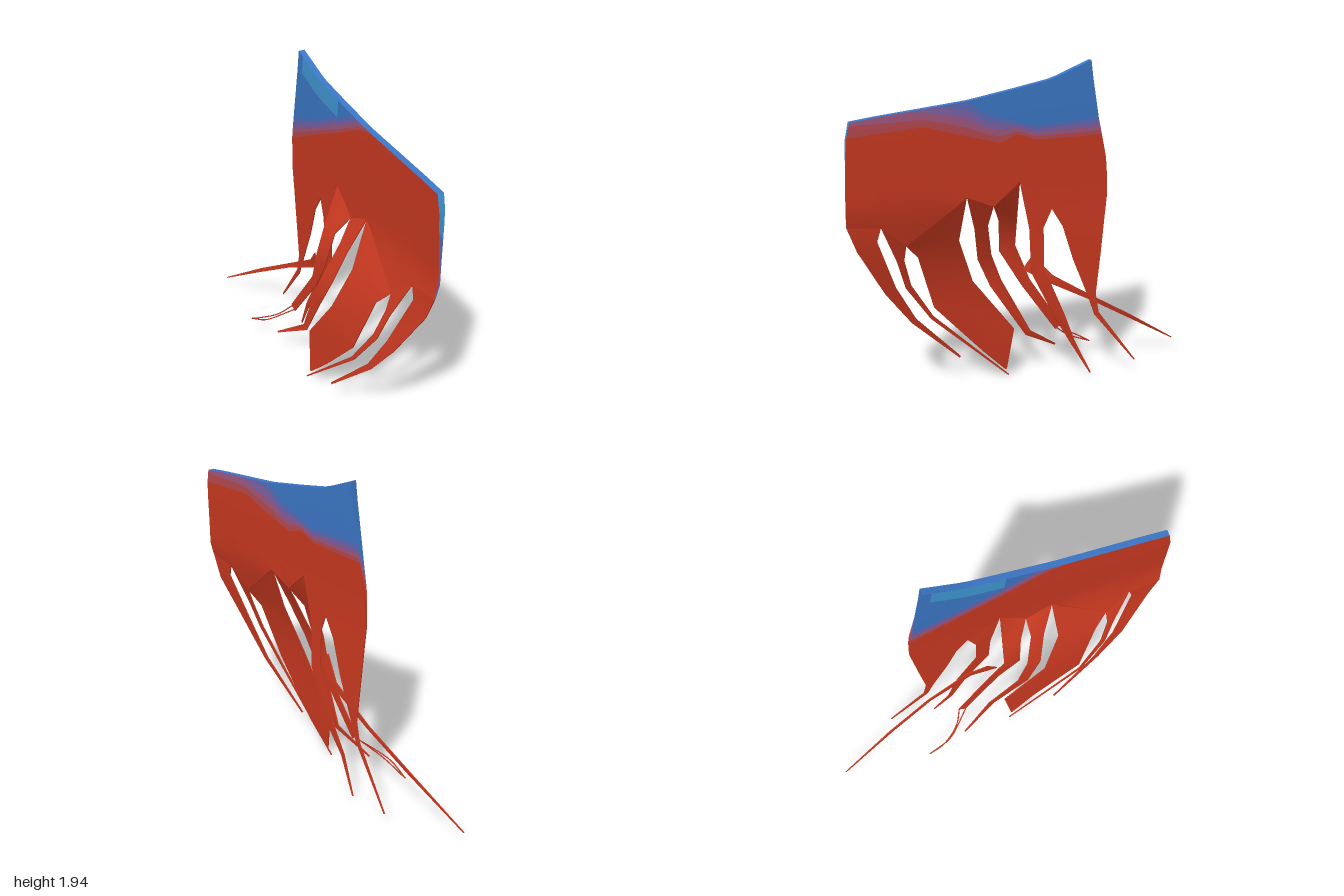
import * as THREE from 'three';
import { toCreasedNormals } from 'three/addons/utils/BufferGeometryUtils.js';

const V = (x, y, z) => new THREE.Vector3(x, y, z);
const { clamp, lerp, smoothstep } = THREE.MathUtils;

// Piecewise-linear lookup in a table of [key, value], keys descending
function lookup(table, k) {
  if (k >= table[0][0]) return table[0][1];
  for (let i = 1; i < table.length; i++) {
    const [k0, v0] = table[i - 1], [k1, v1] = table[i];
    if (k >= k1) return lerp(v0, v1, (k0 - k) / (k0 - k1));
  }
  return table[table.length - 1][1];
}

// Closed slab between a front grid F and a back grid B (rows go down, columns go right).
// The paint functions return a material index for each face.
function slab(F, B, count, paint) {
  const buckets = Array.from({ length: count }, () => []);
  const area = new THREE.Triangle();
  const tri = (m, a, b, c) => {
    if (area.set(a, b, c).getArea() > 1e-9) buckets[m].push(...a, ...b, ...c);
  };
  const quad = (m, a, b, c, d) => { tri(m, a, b, c); tri(m, a, c, d); };
  const R = F.length - 1, C = F[0].length - 1;
  for (let i = 0; i < R; i++) {
    for (let j = 0; j < C; j++) {
      quad(paint.front(i), F[i][j], F[i + 1][j], F[i + 1][j + 1], F[i][j + 1]);
      quad(paint.back(i, j), B[i][j], B[i][j + 1], B[i + 1][j + 1], B[i + 1][j]);
    }
    quad(paint.left(i), F[i][0], B[i][0], B[i + 1][0], F[i + 1][0]);
    quad(paint.front(i), F[i][C], F[i + 1][C], B[i + 1][C], B[i][C]);
  }
  for (let j = 0; j < C; j++) {
    quad(paint.front(0), F[0][j], F[0][j + 1], B[0][j + 1], B[0][j]);
    quad(paint.front(R), F[R][j], B[R][j], B[R][j + 1], F[R][j + 1]);
  }
  const g = new THREE.BufferGeometry();
  g.setAttribute('position', new THREE.Float32BufferAttribute(buckets.flat(), 3));
  let start = 0;
  buckets.forEach((b, m) => {
    if (b.length) g.addGroup(start, b.length / 3, m);
    start += b.length / 3;
  });
  return toCreasedNormals(g, 0.6);
}

// Cloth outline: side edges by height, then top and torn lower edge by z
const leftEdge = [[1.69, 0.96], [1.6, 0.98], [1.2, 1], [1.12, 0.99]];
const rightEdge = [[1.94, -0.26], [1.7, -0.29], [1.37, -0.36], [1.2, -0.37]];
const topEdge = [[1, 1.69], [0.84, 1.71], [0.36, 1.76], [0.08, 1.81], [-0.13, 1.85], [-0.37, 1.94]];
const notches = [[0.99, 1.12], [0.82, 1.1], [0.68, 0.97], [0.39, 1.23], [0.25, 1.16], [0.11, 1.29], [-0.06, 1.11], [-0.37, 1.15]];
// Heights where blue ends and where red begins, on each face
const frontBlue = [[1, 1.86], [0.36, 1.76], [0.28, 1.69], [0, 1.6], [-0.37, 1.62]];
const frontRed = [[1, 1.61], [0.6, 1.64], [0.2, 1.52], [0.1, 1.56], [0, 1.52], [-0.37, 1.52]];
const backBlue = [[1, 2], [0.25, 1.79], [-0.1, 1.62], [-0.37, 1.5]];
const backRed = [[1, 1.9], [0.3, 1.73], [-0.1, 1.52], [-0.37, 1.36]];

// Columns pass exactly through every notch of the torn edge
const columns = [notches[0][0]];
for (let i = 1; i < notches.length; i++) {
  for (let k = 1; k <= 6; k++) columns.push(lerp(notches[i - 1][0], notches[i][0], k / 6));
}

// Point on the slanted sheet, curling back below; side is 1 front, 0 middle, -1 back
function clothPoint(z0, y, side) {
  const z = lerp(lookup(leftEdge, y), lookup(rightEdge, y), (0.99 - z0) / 1.36);
  const curl = 0.25 * Math.max(0, 1.2 - y) * clamp(z * 2, 0, 1);
  const half = side * (0.004 + 0.014 * smoothstep(y, 1.15, 1.7));
  return V(0.09 - 0.45 * z - curl + half * 0.91, y, z + half * 0.41);
}

function clothGrid(blue, red, side) {
  const cols = columns.map((z0) => {
    const top = lookup(topEdge, z0), bottom = lookup(notches, z0);
    const b = lookup(blue, z0), r = lookup(red, z0), last = Math.min(top, r);
    const ys = [top, Math.min(top, Math.max(b, top - 0.1))];
    for (let k = 0; k <= 4; k++) ys.push(Math.min(top, lerp(b, r, k / 4)));
    for (let k = 1; k <= 6; k++) ys.push(lerp(last, bottom, k / 6));
    return ys.map((y) => clothPoint(z0, y, side));
  });
  return cols[0].map((_, i) => cols.map((c) => c[i]));
}

// Tapering strip along rows of [x, y, z, width]; with a notch index it grows
// from the cloth between that notch and the next
function stripGeometry(notch, rows) {
  const left = [], right = [], mid = rows.map(([x, y, z]) => V(x, y, z));
  if (notch !== null) {
    left.push(clothPoint(...notches[notch], 0));
    right.push(clothPoint(...notches[notch + 1], 0));
  }
  const last = rows.length - 1;
  mid.forEach((p, i) => {
    const along = mid[Math.min(i + 1, last)].clone().sub(mid[Math.max(i - 1, 0)]);
    const across = V(0.91, 0, 0.41).cross(along).setLength(rows[i][3] / 2);
    left.push(p.clone().sub(across));
    right.push(p.clone().add(across));
  });
  const grid = (half) => left.map((p, i) => {
    const a = Math.max(i - 1, 0), b = Math.min(i + 1, left.length - 1);
    const along = left[b].clone().add(right[b]).sub(left[a]).sub(right[a]);
    const normal = along.cross(right[i].clone().sub(p)).normalize();
    return [p, right[i]].map((q) => q.clone().addScaledVector(normal, half));
  });
  const single = () => 0;
  return slab(grid(0.003), grid(-0.003), 1, { front: single, back: single, left: single });
}

export function createModel() {
  const mat = (name, color) => Object.assign(new THREE.MeshStandardMaterial({ color }), { name });
  const red = mat('red cloth', 0xcc3a21);
  const palette = [mat('blue cloth', 0x3c78c8), mat('indigo blend', 0x5a6cba), mat('violet blend', 0x7e62a6),
    mat('mauve blend', 0xa25880), mat('rose blend', 0xb84a50), red, mat('sky blue', 0x3f98d4)];
  const model = new THREE.Group();
  model.name = 'tornBanner';
  const add = (name, geometry, material) => {
    const mesh = new THREE.Mesh(geometry, material);
    mesh.name = name;
    model.add(mesh);
  };

  // Main cloth, fading from blue at the high corner to red
  const F = clothGrid(frontBlue, frontRed, 1), B = clothGrid(backBlue, backRed, -1);
  const band = (i) => clamp(i - 1, 0, 5);
  add('clothBody', slab(F, B, 7, {
    front: band,
    back: (i, j) => (i === 0 && columns[j] < 0.1 && columns[j] > -0.3 ? 6 : band(i)),
    left: (i) => {
      const y = F[i][0].y;
      return y > 1.45 ? 6 : y > 1.3 ? 1 : y > 1.18 ? 2 : 5;
    },
  }), palette);

  // Torn strips
  const strip = (name, notch, rows) => add(name, stripGeometry(notch, rows), red);
  strip('outerStrip', 0, [[-.34, 1, .89, .12], [-.355, .7, .74, .07], [-.335, .48, .6, .035], [-.28, .175, .31, .012]]);
  strip('slenderStrip', 1, [[-.315, .87, .69, .04], [-.335, .7, .63, .035], [-.32, .47, .48, .022], [-.15, .006, .035, .008]]);
  strip('wideStrip', 2, [[-.235, .915, .485, .25], [-.26, .6, .365, .27], [-.15, .265, .115, .23], [-.145, .055, .06, .01]]);
  strip('middleStrip', 3, [[-.115, 1.02, .27, .08], [-.17, .81, .2, .085], [-.165, .63, .12, .075],
    [-.06, .29, -.045, .04], [-.05, .145, -.27, .01]]);
  strip('frayedStrip', 4, [[-.05, 1.05, .125, .11], [-.09, .86, .095, .1], [-.03, .64, .005, .06], [.035, .31, -.21, .05]]);
  strip('hangingStrip', 5, [[.075, 1, .02, .085], [.085, .75, .02, .08], [.15, .44, -.105, .06],
    [.165, .26, -.195, .03], [.228, .04, -.292, .008]]);
  strip('innerStrip', 6, [[.2, 1.01, -.24, .26], [.212, .8, -.26, .175], [.228, .55, -.292, .05],
    [.24, .425, -.325, .03], [.36, .085, -.55, .008]]);
  strip('flyingStrip', null, [[-.01, .77, .01, .1], [.08, .66, -.1, .05], [.17, .495, -.355, .027],
    [.235, .31, -.64, .024], [.3, .07, -1, .006]]);

  // Loose threads at the end of the frayed strip
  [-1, 1].forEach((s, i) => {
    const path = new THREE.CatmullRomCurve3([V(.035 + s * .012, .315, -.205 - s * .018),
      V(-.005, .245, -.29 - s * .01), V(-.025, .175, -.4 - s * .02), V(.006, .1, -.53)]);
    add('looseThread' + (i + 1), new THREE.TubeGeometry(path, 12, 0.004, 5), red);
  });
  return model;
}
